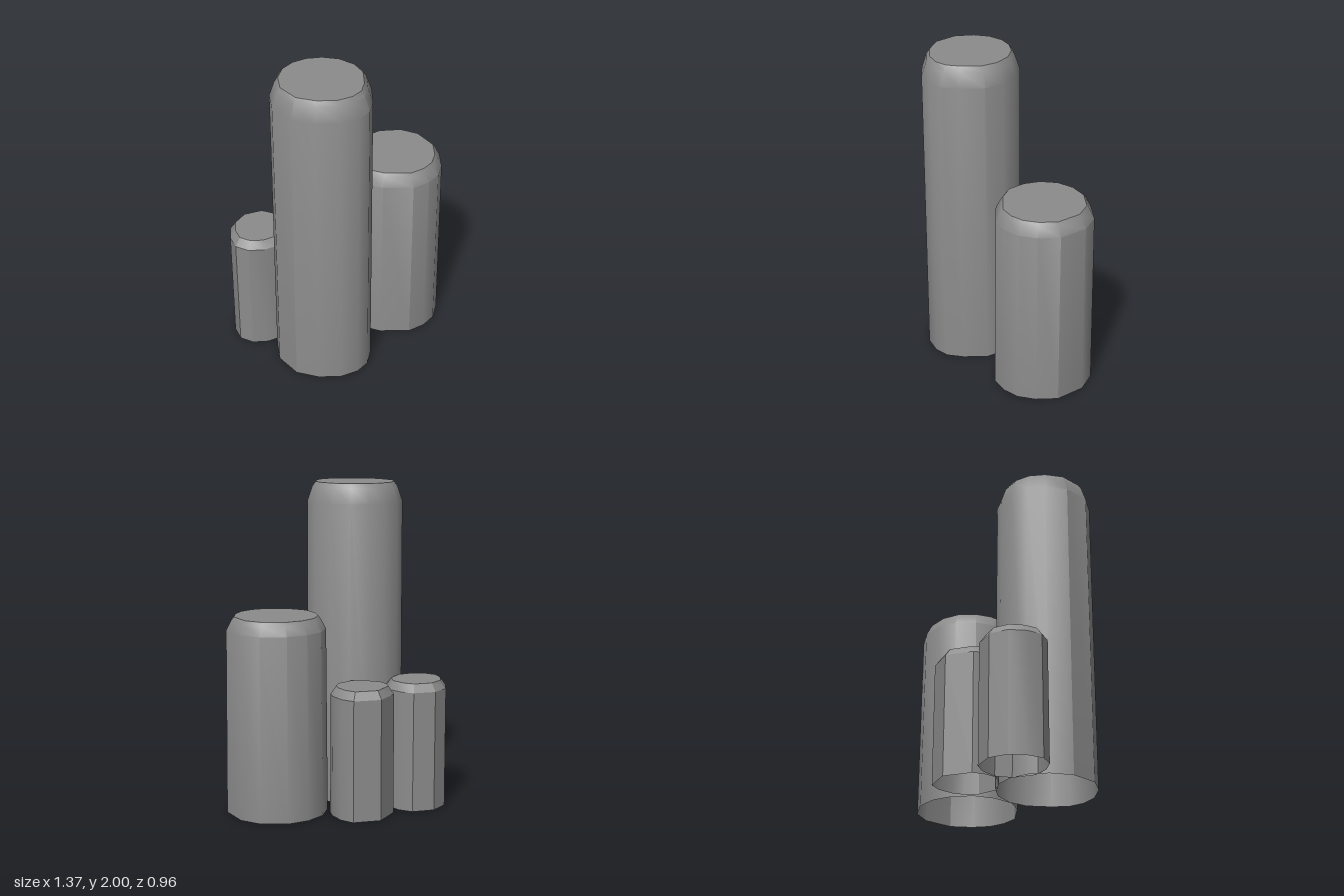
import * as THREE from 'three';
import { toCreasedNormals } from 'three/addons/utils/BufferGeometryUtils.js';

// Irregular outlines as [x, z] pairs, in hundredths of a unit, seen from above.
const columns = [
  {
    name: 'tallColumn', // rounded shoulder in two steps
    outline: [[-20, -14], [-9, -11.5], [1.5, -4.5], [8.5, 6.5], [10.2, 18.7], [5, 33.3], [-1, 42.5], [-9.5, 47], [-21, 47.8],
      [-34.5, 43], [-46, 33.7], [-51.3, 17.2], [-48, 3.3], [-41, -6.6], [-31, -12.5]],
    rings: [[0, 1], [1.88, 0.98], [1.97, 0.88], [2, 0.81]],
  },
  {
    name: 'middleColumn',
    outline: [[38.4, -38.4], [54.2, -33.7], [64, -23.4], [68.3, -5.1], [63.8, 8], [57, 17.2], [48, 22.3], [36.5, 24.2], [18.7, 17],
      [9.5, 8.4], [5.9, -4.8], [7.3, -17.2], [13.9, -28.6], [24.9, -35.9]],
    rings: [[0, 1], [1.14, 0.97], [1.2, 0.87], [1.22, 0.82]],
  },
  {
    name: 'smallLeftColumn',
    outline: [[-55, -38.4], [-41, -38], [-34.4, -32.2], [-29.7, -22], [-31.9, -11.7], [-41.8, -2.2], [-52.7, -1.1],
      [-62, -4], [-68.2, -11], [-68.5, -20.9], [-64.8, -31.1]],
    rings: [[0, 1], [0.75, 0.99], [0.8, 0.81]],
  },
  {
    name: 'smallBackColumn',
    outline: [[-16.8, -48.4], [0.4, -47.6], [5.9, -40.7], [8.4, -31.1], [7.7, -23.8], [3.3, -16.1], [-8.8, -10.3],
      [-21.6, -15.4], [-28.6, -20.9], [-30.4, -29.3], [-29.3, -35.9]],
    rings: [[0, 1], [0.75, 0.99], [0.8, 0.81]],
  },
];

// Loft an outline through rings of [height, scale], closed on top and open below.
function columnGeometry(outline, rings) {
  const pts = outline.map(([x, z]) => new THREE.Vector2(x / 100, z / 100));
  const c = new THREE.Box2().setFromPoints(pts).getCenter(new THREE.Vector2());
  const pos = [];
  const at = (i, [y, s]) => {
    const p = pts[i % pts.length];
    return [c.x + (p.x - c.x) * s, y, c.y + (p.y - c.y) * s];
  };
  const top = rings[rings.length - 1];
  for (let i = 0; i < pts.length; i++) {
    // wall and bevel
    for (let r = 0; r < rings.length - 1; r++) {
      const a0 = at(i, rings[r]), b0 = at(i + 1, rings[r]);
      const a1 = at(i, rings[r + 1]), b1 = at(i + 1, rings[r + 1]);
      pos.push(...a0, ...a1, ...b1, ...a0, ...b1, ...b0);
    }
    // top face
    pos.push(c.x, top[0], c.y, ...at(i + 1, top), ...at(i, top));
  }
  const g = new THREE.BufferGeometry();
  g.setAttribute('position', new THREE.Float32BufferAttribute(pos, 3));
  return toCreasedNormals(g, 0.54);
}

export function createModel() {
  const group = new THREE.Group();
  group.name = 'rockColumns';
  const stone = new THREE.MeshStandardMaterial({ color: 0x8c8c8c, side: THREE.DoubleSide });
  for (const { name, outline, rings } of columns) {
    const mesh = new THREE.Mesh(columnGeometry(outline, rings), stone);
    mesh.name = name;
    group.add(mesh);
  }
  return group;
}
